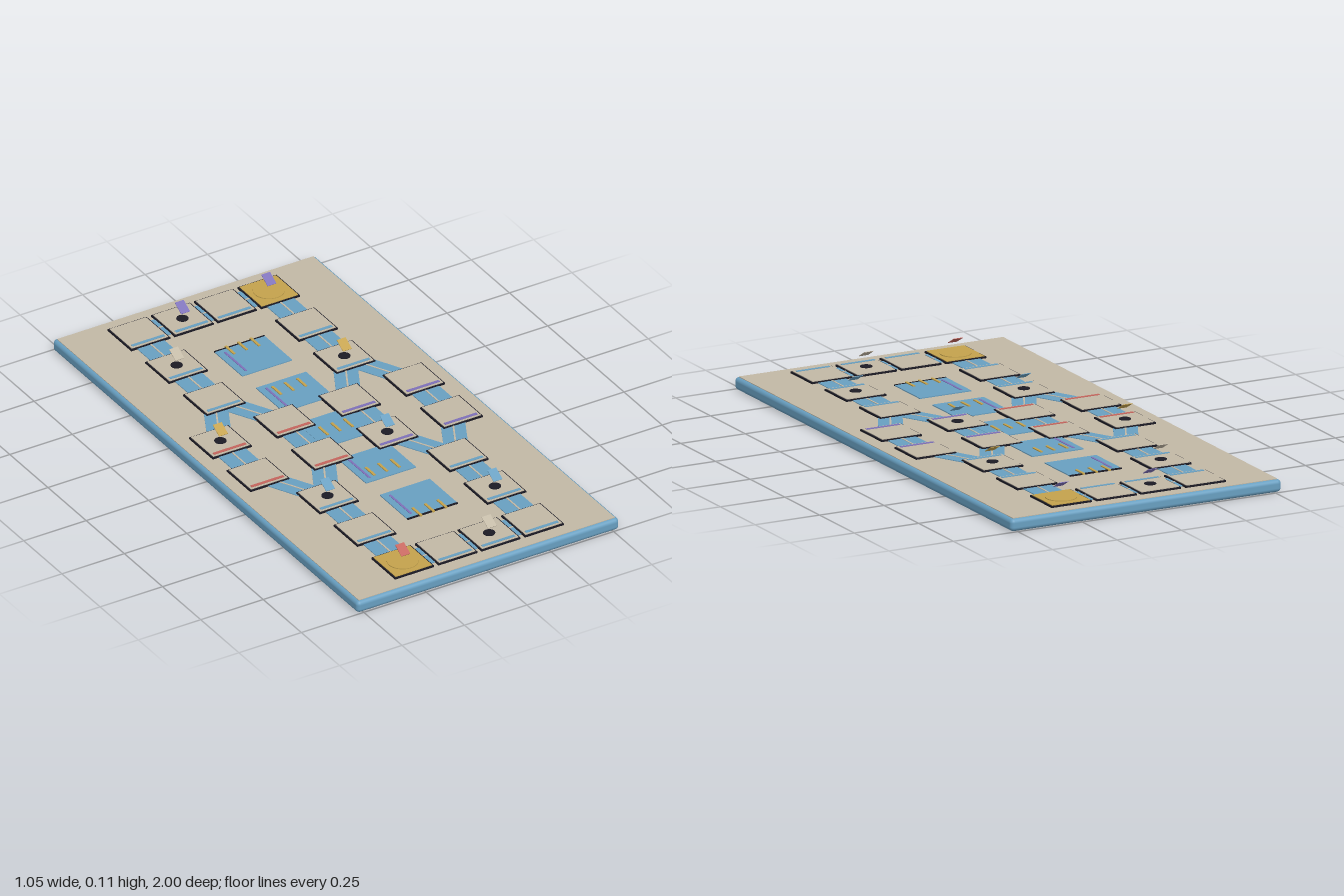
import * as THREE from 'three';
import { RoundedBoxGeometry } from 'three/addons/geometries/RoundedBoxGeometry.js';

export function createModel() {
  const root = new THREE.Group();
  root.name = 'boardGame';
  const material = (name, color, extra = {}) => {
    const m = new THREE.MeshStandardMaterial({ color, ...extra });
    m.name = name;
    return m;
  };
  const both = { side: THREE.DoubleSide };
  const beige = material('beige', 0xc2b8a5, both);
  const blue = material('blue', 0x689fc1, both);
  const gold = material('gold', 0xc4a24c, both);
  const red = material('red', 0xc4645c, both);
  const purple = material('purple', 0x7d70b8, both);
  const dark = material('dark', 0x1b1a24);

  const add = (name, geometry, mat, x, y, z, parent = root) => {
    const mesh = new THREE.Mesh(geometry, mat);
    mesh.name = name;
    mesh.position.set(x, y, z);
    parent.add(mesh);
    return mesh;
  };
  // Box given by its footprint and its bottom and top heights
  const slab = (name, mat, w, d, x, z, y0, y1, parent = root) =>
    add(name, new THREE.BoxGeometry(w, y1 - y0, d), mat, x, (y0 + y1) / 2, z, parent);

  // Base with rounded rim and playing surface
  add('base', new RoundedBoxGeometry(1.05, 0.045, 2, 4, 0.015), blue, 0, 0.0225, 0);
  slab('playingSurface', beige, 1.025, 1.975, 0, 0, 0.04, 0.047);

  // Rows of tile positions, from back to front
  const edge = [-0.26, -0.086, 0.086, 0.26], pair = [-0.26, 0.26], middle = [-0.387, -0.13, 0.13, 0.387];
  const rows = [
    [-0.865, edge], [-0.618, pair], [-0.371, pair], [-0.124, middle],
    [0.123, middle], [0.369, pair], [0.615, pair], [0.862, edge],
  ];

  // Tiles with dark border and coloured front strip
  rows.forEach(([z, xs]) => xs.forEach((x) => {
    const isCorner = Math.abs(z) > 0.8 && x * z < 0 && Math.abs(x) > 0.2;
    const tile = new THREE.Group();
    tile.name = isCorner ? 'startTile' : 'tile';
    tile.position.set(x, 0, z);
    root.add(tile);
    slab('tileBorder', dark, 0.156, 0.156, 0, 0, 0.045, 0.053, tile);
    slab('tileTop', isCorner ? gold : beige, 0.146, 0.146, 0, 0, 0.047, 0.0555, tile);
    if (isCorner) {
      add('startDisc', new THREE.CylinderGeometry(0.055, 0.055, 0.003, 32), gold, 0, 0.057, 0, tile);
    } else {
      const strip = xs !== middle ? blue : x < 0 ? red : purple;
      slab('tileStrip', strip, 0.13, 0.012, 0, 0.06, 0.05, 0.057, tile);
    }
  }));

  // Paths between neighbouring tiles, each with a pale centre line
  const path = (x0, z0, x1, z1) => {
    const group = new THREE.Group();
    group.name = 'path';
    group.position.set((x0 + x1) / 2, 0, (z0 + z1) / 2);
    group.rotation.y = Math.atan2(x1 - x0, z1 - z0);
    root.add(group);
    const length = Math.hypot(x1 - x0, z1 - z0);
    const width = x0 !== x1 && z0 !== z1 ? 0.085 : 0.108;
    slab('pathBed', blue, width, length, 0, 0, 0.046, 0.0495, group);
    slab('pathLine', beige, 0.006, length, 0, 0, 0.048, 0.051, group);
  };
  rows.forEach(([z, xs], i) => {
    if (xs === edge) for (let k = 0; k < 3; k++) path(xs[k], z, xs[k + 1], z);
    if (i === rows.length - 1) return;
    const [nextZ, nextXs] = rows[i + 1];
    xs.forEach((x) => nextXs.forEach((nx) => {
      const widening = (xs === middle) !== (nextXs === middle);
      if (x === nx || (widening && x * nx > 0)) path(x, z, nx, nextZ);
    }));
  });

  // Central panels with gold bars and a purple side line
  for (let i = -2; i <= 2; i++) {
    const z = i * 0.27;
    slab('centrePanel', blue, 0.2, 0.18, 0, z, 0.046, 0.0505);
    for (const x of [-0.05, 0, 0.05]) slab('panelBar', gold, 0.009, 0.058, x, i * 0.306, 0.049, 0.054);
    if (i) slab('panelLine', purple, 0.008, 0.14, -0.072, z, 0.049, 0.052);
    if (Math.abs(i) === 2) slab('panelEdge', dark, 0.2, 0.005, 0, z + Math.sign(i) * 0.092, 0.046, 0.052);
  }

  // Tilted cards floating above dark sockets
  const cards = [
    [1, 0, purple], [3, 0, purple], [0, 1, beige], [1, 2, gold], [0, 3, gold],
    [2, 4, blue], [0, 5, blue], [1, 6, blue], [0, 7, red], [2, 7, beige],
  ];
  cards.forEach(([column, row, mat]) => {
    const [z, xs] = rows[row];
    const x = xs[column];
    const onStart = (row === 0 && column === 3) || (row === 7 && column === 0);
    if (!onStart) add('socket', new THREE.CylinderGeometry(0.021, 0.021, 0.005, 24), dark, x, 0.0555, z);
    add('card', new THREE.BoxGeometry(0.035, 0.002, 0.048), mat, x, 0.102, z).rotation.x = Math.PI / 6;
  });
  return root;
}
